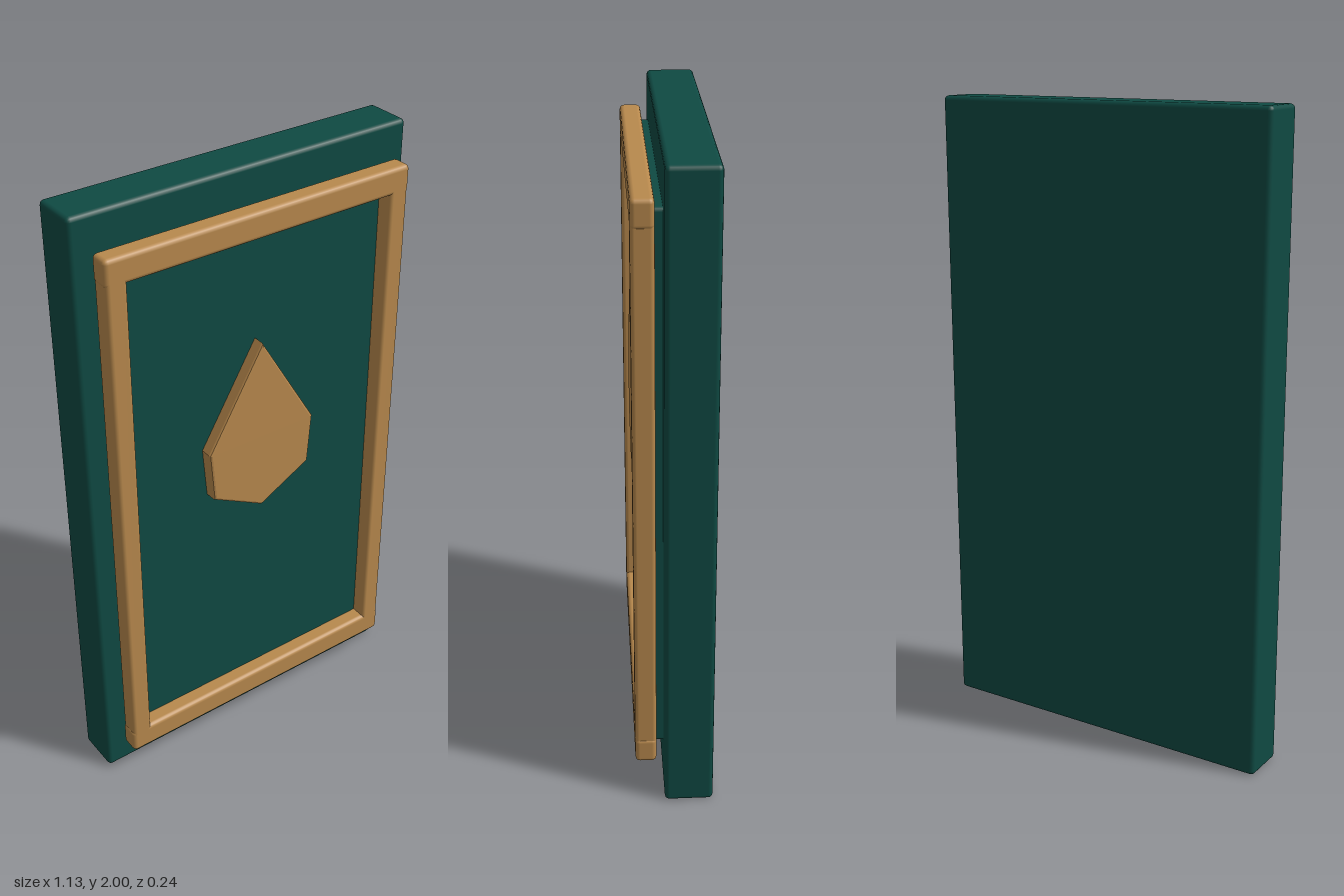
import * as THREE from 'three';
import { RoundedBoxGeometry } from 'three/addons/geometries/RoundedBoxGeometry.js';

export function createModel() {
  const group = new THREE.Group();
  group.name = 'framedPanel';

  const green = new THREE.MeshStandardMaterial({ color: 0x0f4a43 });
  green.name = 'dark green';
  const gold = new THREE.MeshStandardMaterial({ color: 0xb8894d });
  gold.name = 'antique gold';

  // Soft-edged box given by its extents on each axis
  function block(name, material, [x0, x1], [y0, y1], [z0, z1], radius) {
    const geometry = new RoundedBoxGeometry(x1 - x0, y1 - y0, z1 - z0, 2, radius);
    const mesh = new THREE.Mesh(geometry, material);
    mesh.name = name;
    mesh.position.set((x0 + x1) / 2, (y0 + y1) / 2, (z0 + z1) / 2);
    group.add(mesh);
  }

  // Main slab and the raised panel on its front
  block('slab', green, [-0.567, 0.567], [0, 2], [-0.118, 0.03], 0.014);
  block('raisedPanel', green, [-0.47, 0.47], [0.155, 1.865], [0, 0.066], 0.012);

  // Frame: two rails with two stiles between them
  const frameDepth = [0.053, 0.118];
  block('topRail', gold, [-0.517, 0.517], [1.818, 1.902], frameDepth, 0.014);
  block('bottomRail', gold, [-0.517, 0.517], [0.112, 0.196], frameDepth, 0.014);
  block('leftStile', gold, [0.449, 0.514], [0.125, 1.89], frameDepth, 0.012);
  block('rightStile', gold, [-0.514, -0.449], [0.125, 1.89], frameDepth, 0.012);

  // Faceted drop emblem with a small bevel
  const half = [[0.192, 1.155], [0.178, 0.988]];
  const outline = [
    [0, 0.893],
    ...half.slice().reverse(),
    [0, 1.477],
    ...half.map(([x, y]) => [-x, y]),
  ].map(([x, y]) => new THREE.Vector2(x, y));
  const bevel = 0.008;
  const drop = new THREE.Mesh(
    new THREE.ExtrudeGeometry(new THREE.Shape(outline), {
      depth: 0.034,
      bevelEnabled: true,
      bevelThickness: bevel,
      bevelSize: bevel,
      bevelOffset: -bevel,
      bevelSegments: 2,
    }),
    gold
  );
  drop.name = 'dropEmblem';
  drop.position.z = 0.066;
  group.add(drop);

  return group;
}
